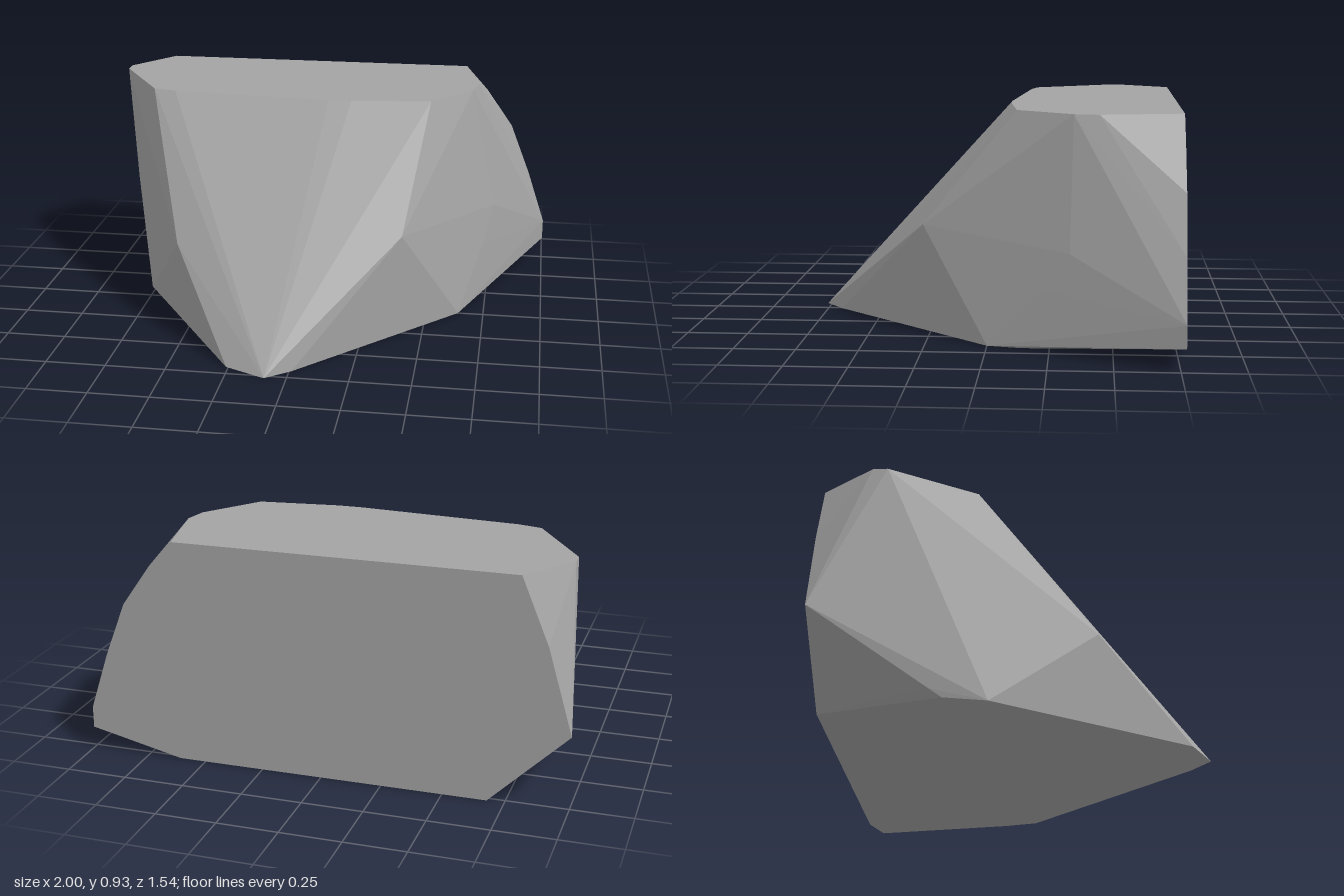
import * as THREE from 'three';
import { ConvexGeometry } from 'three/addons/geometries/ConvexGeometry.js';

const HEIGHT = 0.93;
const BACK = -0.77;

// Flat top, as [x, z]
const top = [
  [-0.79, BACK], [-0.95, -0.55], [-0.95, -0.49], [-0.74, -0.15], [-0.64, -0.125], [0.05, -0.07],
  [0.15, -0.07], [0.49, -0.11], [0.66, -0.34], [0.68, -0.44], [0.61, BACK],
];

// Flat underside, as [x, z]
const base = [
  [-0.68, BACK], [-0.81, -0.27], [-0.77, -0.1], [-0.26, 0.69], [-0.09, 0.77],
  [0.01, 0.69], [0.64, 0], [0.67, -0.14], [0.61, BACK],
];

// Sheer back wall between top and base, as [x, y]
const back = [
  [-0.9, 0.66], [-1, 0.31], [0.71, 0.82], [0.83, 0.65], [0.92, 0.42], [1, 0.18], [1, 0.09],
];

// Corners on the chipped flanks, as [x, y, z]
const flanks = [
  [-0.54, 0.38, 0.32], [-0.83, 0.03, -0.32],
  [0.41, 0.45, 0.28], [0.65, 0.035, -0.05], [0.73, 0.25, -0.22], [0.77, 0.4, -0.33],
];

export function createModel() {
  const stone = new THREE.MeshStandardMaterial({ color: 0xa3a3a3, flatShading: true });
  stone.name = 'stone grey';

  const points = [
    ...top.map(([x, z]) => new THREE.Vector3(x, HEIGHT, z)),
    ...base.map(([x, z]) => new THREE.Vector3(x, 0, z)),
    ...back.map(([x, y]) => new THREE.Vector3(x, y, BACK)),
    ...flanks.map((p) => new THREE.Vector3(...p)),
  ];

  // One faceted boulder stretched over all the corners
  const rock = new THREE.Mesh(new ConvexGeometry(points), stone);
  rock.name = 'rock';

  const model = new THREE.Group();
  model.name = 'cutRock';
  model.add(rock);
  return model;
}
